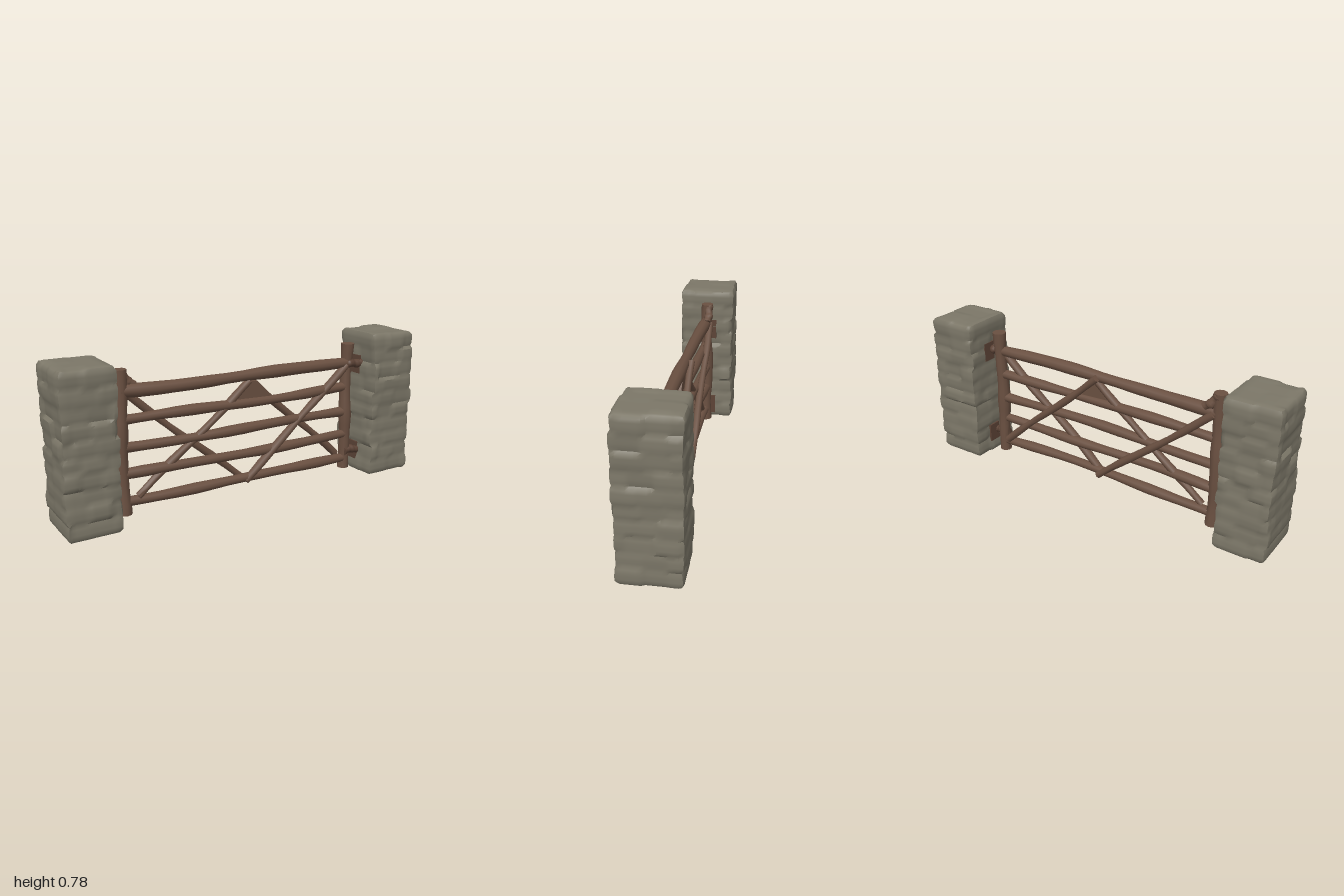
import * as THREE from 'three';
import { mergeVertices, toCreasedNormals } from 'three/addons/utils/BufferGeometryUtils.js';

const mat = (name, color) => {
  const m = new THREE.MeshStandardMaterial({ color });
  m.name = name;
  return m;
};

// Repeatable pseudo-random value from three integers
const hash = (a, b, c) => {
  const s = Math.sin(a * 127.1 + b * 311.7 + c * 74.7) * 43758.5453;
  return s - Math.floor(s);
};

// Pillar of rough stone courses: a fine box pushed outwards stone by stone
function pillarGeometry(seed) {
  const hx = 0.127, hz = 0.141, H = 0.775, courses = 10;
  let g = new THREE.BoxGeometry(hx * 2, H, hz * 2, 14, 50, 16);
  g.deleteAttribute('normal');
  g.deleteAttribute('uv');
  g = mergeVertices(g);
  const p = g.attributes.position;

  const relief = (u, y, face) => {
    const row = Math.min(courses - 1, Math.floor(y / H * courses));
    const shift = hash(row, seed, face) * 0.1;
    const col = Math.floor((u + shift + 1) / 0.11);
    const v = y / H * courses - row - 0.5;
    const tilt = (hash(row, col, seed + face + 9) - 0.5) * 0.012;
    return hash(row, col, seed + face) * 0.013 + v * tilt - Math.pow(Math.abs(v) * 2, 4) * 0.004;
  };

  for (let i = 0; i < p.count; i++) {
    const x = p.getX(i), z = p.getZ(i), y = p.getY(i) + H / 2;
    const onX = Math.abs(x) > hx - 1e-4, onZ = Math.abs(z) > hz - 1e-4;
    const edge = y < 1e-4 || y > H - 1e-4;
    let nx = x, nz = z, ny = y;
    if (onX) nx += Math.sign(x) * (relief(z, y, x > 0 ? 1 : 2) - (edge ? 0.006 : 0));
    if (onZ) nz += Math.sign(z) * (relief(x, y, z > 0 ? 3 : 4) - (edge ? 0.006 : 0));
    if (onX && onZ) { nx *= 0.975; nz *= 0.975; }
    if (y > H - 1e-4) ny += 0.008 * hash(Math.floor(x / 0.1), Math.floor(z / 0.1), seed) - (onX || onZ ? 0.004 : 0);
    p.setXYZ(i, nx, ny, nz);
  }
  return toCreasedNormals(g, 0.75);
}

// Rough pole between two points, with a slight waver and an optional forward bow
function poleGeometry(a, b, r, seed, bow = 0) {
  const A = new THREE.Vector3(...a), B = new THREE.Vector3(...b);
  const dir = B.clone().sub(A), len = dir.length();
  const g = new THREE.CylinderGeometry(r, r, len, 10, 14);
  const p = g.attributes.position;
  for (let i = 0; i < p.count; i++) {
    const t = p.getY(i) / len + 0.5;
    const k = 1 + 0.09 * Math.sin(t * 11 + seed * 2.3) + 0.05 * Math.sin(t * 23 + seed);
    p.setX(i, p.getX(i) * k + 0.004 * Math.sin(t * 7 + seed * 1.7));
    p.setZ(i, p.getZ(i) * k + 0.003 * Math.sin(t * 9 + seed));
  }
  g.applyQuaternion(new THREE.Quaternion().setFromUnitVectors(new THREE.Vector3(0, 1, 0), dir.normalize()));
  g.translate((A.x + B.x) / 2, (A.y + B.y) / 2, (A.z + B.z) / 2);
  for (let i = 0; i < p.count; i++) {
    const t = (p.getX(i) - A.x) / (B.x - A.x || 1);
    if (bow) p.setZ(i, p.getZ(i) + bow * Math.sin(Math.PI * THREE.MathUtils.clamp(t, 0, 1)));
  }
  return toCreasedNormals(g, 0.9);
}

export function createModel() {
  const root = new THREE.Group();
  root.name = 'fieldGate';
  const stone = mat('stone', 0x7c7768);
  const wood = mat('wood', 0x6a5041);
  const rust = mat('rustyIron', 0x5c4336);

  const add = (parent, name, geometry, material) => {
    const m = new THREE.Mesh(geometry, material);
    m.name = name;
    parent.add(m);
    return m;
  };

  // Stone pillars
  add(root, 'leftPillar', pillarGeometry(3), stone).position.x = 0.858;
  add(root, 'rightPillar', pillarGeometry(8), stone).position.x = -0.858;

  const gate = new THREE.Group();
  gate.name = 'gate';
  root.add(gate);
  const pole = (name, ...args) => add(gate, name, poleGeometry(...args), wood);

  // Upright end posts
  pole('rightPost', [-0.66, 0.02, -0.01], [-0.655, 0.725, -0.01], 0.032, 1);
  pole('leftPost', [0.65, 0.02, 0.002], [0.65, 0.72, 0.002], 0.032, 4);

  // Five horizontal rails
  [0.622, 0.485, 0.35, 0.218, 0.083].forEach((y, i) => {
    pole('rail' + (i + 1), [-0.66, y, -0.008], [0.655, y - 0.003, 0.004], i ? 0.025 : 0.03, i * 1.9, 0.016);
  });

  // Front braces
  pole('frontBraceRight', [-0.59, 0.1, 0.004], [0.03, 0.59, 0.012], 0.019, 2);
  pole('frontBraceLeft', [0, 0.07, 0.024], [0.635, 0.605, 0.014], 0.021, 5);

  // Back braces
  pole('backBraceRight', [-0.635, 0.615, -0.028], [0, 0.075, -0.022], 0.019, 3);
  pole('backBraceLeft', [0.01, 0.625, -0.024], [0.61, 0.1, -0.02], 0.019, 7);

  // Sloping shoulder behind the top of the right post
  pole('postShoulder', [-0.65, 0.71, -0.022], [-0.585, 0.64, -0.022], 0.022, 6);

  // Three-cornered board below the top rail
  const tri = new THREE.Shape();
  tri.moveTo(-0.08, 0.49);
  tri.lineTo(0.17, 0.49);
  tri.lineTo(0.07, 0.59);
  tri.lineTo(0.03, 0.59);
  const board = new THREE.ExtrudeGeometry(tri, { depth: 0.014, bevelEnabled: false });
  board.translate(0, 0, 0.006);
  add(gate, 'centreBoard', board, wood);

  // Hinges on the left pillar
  for (const y of [0.61, 0.12]) {
    add(gate, 'hingePin', poleGeometry([0.64, y, 0.015], [0.74, y, 0.015], 0.022, y * 9), rust);
    add(gate, 'hingePlate', new THREE.BoxGeometry(0.014, 0.1, 0.07), rust).position.set(0.727, y - 0.01, -0.01);
  }

  // Latch bolts, keeper plates and chain on the right pillar
  for (const y of [0.575, 0.1]) {
    add(gate, 'keeperPlate', new THREE.BoxGeometry(0.014, 0.11, 0.07), rust).position.set(-0.727, y - 0.02, -0.02);
  }
  add(gate, 'latchBolt', poleGeometry([-0.74, 0.57, -0.012], [-0.66, 0.57, -0.012], 0.012, 2), rust);
  for (let i = 0; i < 4; i++) {
    const link = add(gate, 'chainLink', new THREE.TorusGeometry(0.015, 0.005, 6, 12), rust);
    link.position.set(-0.708, 0.6 - i * 0.036, -0.005);
    link.scale.y = 1.5;
    link.rotation.y = i % 2 ? 1.2 : 0.2;
  }

  return root;
}
